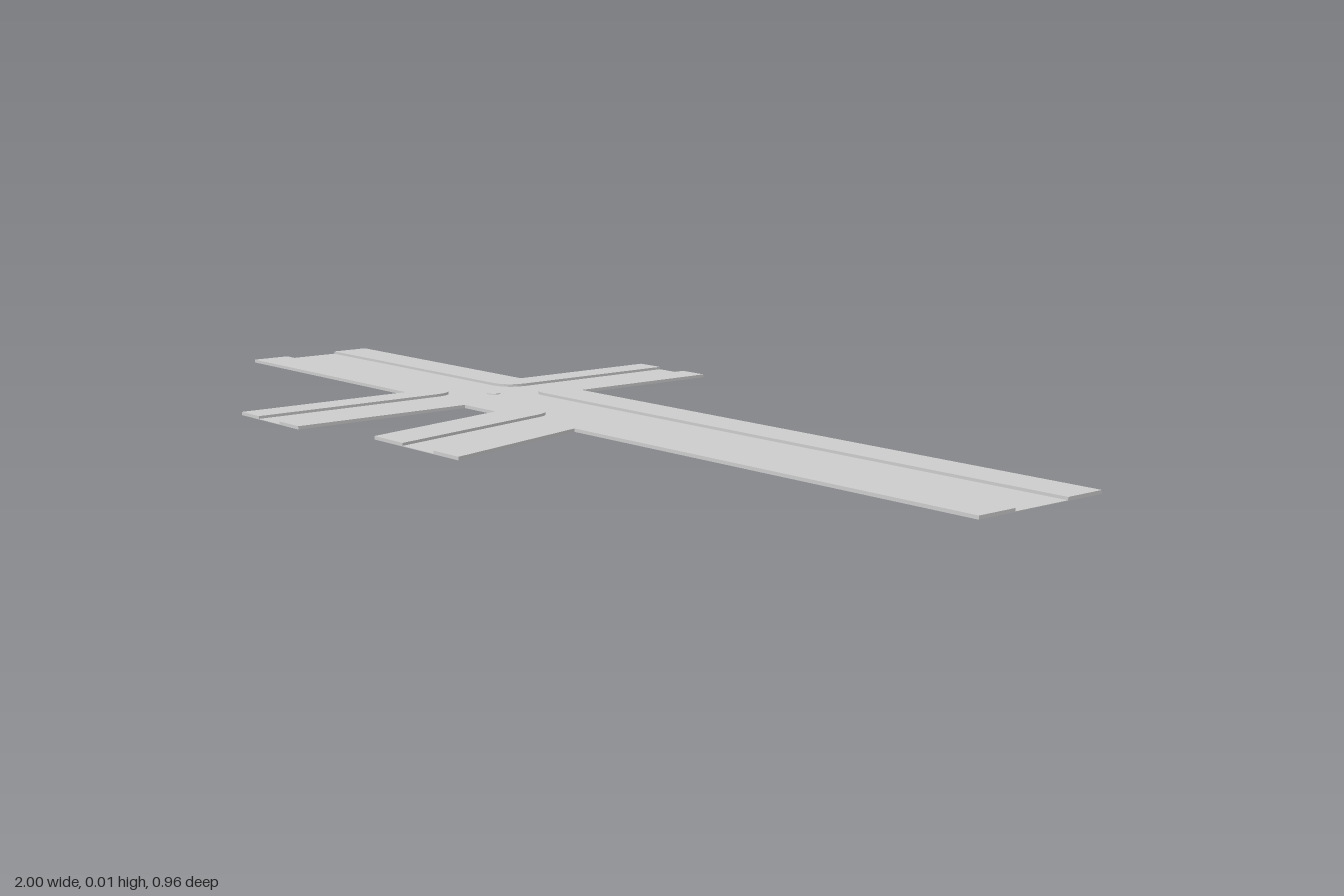
import * as THREE from 'three';

const ROAD = 0.001, TOP = 0.006;

// Closed outline from [x, z, roundness?] corners; roundness eases the corner into a curve
function outline(points) {
  const shape = new THREE.Shape();
  const n = points.length;
  points.forEach(([x, z, r = 0], i) => {
    const p = new THREE.Vector2(x, -z);
    const towards = ([ox, oz]) =>
      new THREE.Vector2(ox, -oz).sub(p).setLength(r).add(p);
    const a = r ? towards(points[(i + n - 1) % n]) : p;
    if (i === 0) shape.moveTo(a.x, a.y);
    else shape.lineTo(a.x, a.y);
    if (r) {
      const b = towards(points[(i + 1) % n]);
      shape.quadraticCurveTo(p.x, p.y, b.x, b.y);
    }
  });
  return shape;
}

// Flat slab lying between two heights
function slab(name, points, y0, y1, material) {
  const geometry = new THREE.ExtrudeGeometry(outline(points), {
    depth: y1 - y0, bevelEnabled: false, curveSegments: 8,
  });
  geometry.rotateX(-Math.PI / 2).translate(0, y0, 0);
  const mesh = new THREE.Mesh(geometry, material);
  mesh.name = name;
  return mesh;
}

export function createModel() {
  const group = new THREE.Group();
  group.name = 'roadJunction';
  const material = new THREE.MeshStandardMaterial({ color: 0xcccccc });

  // Main road, crossing street and slanted side street as one sheet
  group.add(slab('roadSurface', [
    [-1, -0.16], [-0.43, -0.16], [-0.43, -0.48], [-0.235, -0.48],
    [-0.235, -0.16], [1, -0.16], [1, 0.12], [0.09, 0.12], [0.175, 0.43],
    [-0.07, 0.43], [-0.14, 0.12], [-0.235, 0.12], [-0.235, 0.48],
    [-0.43, 0.48], [-0.43, 0.12], [-1, 0.12],
  ], 0, ROAD, material));

  // Raised pavements with rounded kerb corners
  const pavements = {
    backRightPavement: [
      [-1, -0.16], [-0.43, -0.16], [-0.43, -0.48], [-0.37, -0.48],
      [-0.37, -0.08, 0.05], [-1, -0.08],
    ],
    backLeftPavement: [
      [1, -0.16], [-0.235, -0.16], [-0.235, -0.48], [-0.298, -0.48],
      [-0.298, -0.08, 0.05], [1, -0.08],
    ],
    frontRightPavement: [
      [-1, 0.12], [-0.43, 0.12], [-0.43, 0.48], [-0.37, 0.48],
      [-0.37, 0.04, 0.05], [-1, 0.04],
    ],
    frontMiddlePavement: [
      [-0.235, 0.48], [-0.298, 0.48], [-0.298, 0.04, 0.05],
      [-0.073, 0.04, 0.04], [0.015, 0.43], [-0.07, 0.43],
      [-0.14, 0.12], [-0.235, 0.12],
    ],
    frontLeftPavement: [
      [1, 0.12], [0.09, 0.12], [0.175, 0.43], [0.105, 0.43],
      [0, 0.04, 0.04], [1, 0.04],
    ],
  };
  for (const [name, points] of Object.entries(pavements)) {
    group.add(slab(name, points, ROAD, TOP, material));
  }

  // Small round cover in the middle of the crossing
  const cover = new THREE.Mesh(
    new THREE.CylinderGeometry(0.013, 0.013, 0.0015, 24), material);
  cover.name = 'manholeCover';
  cover.position.set(-0.333, ROAD + 0.00075, -0.02);
  group.add(cover);

  return group;
}
